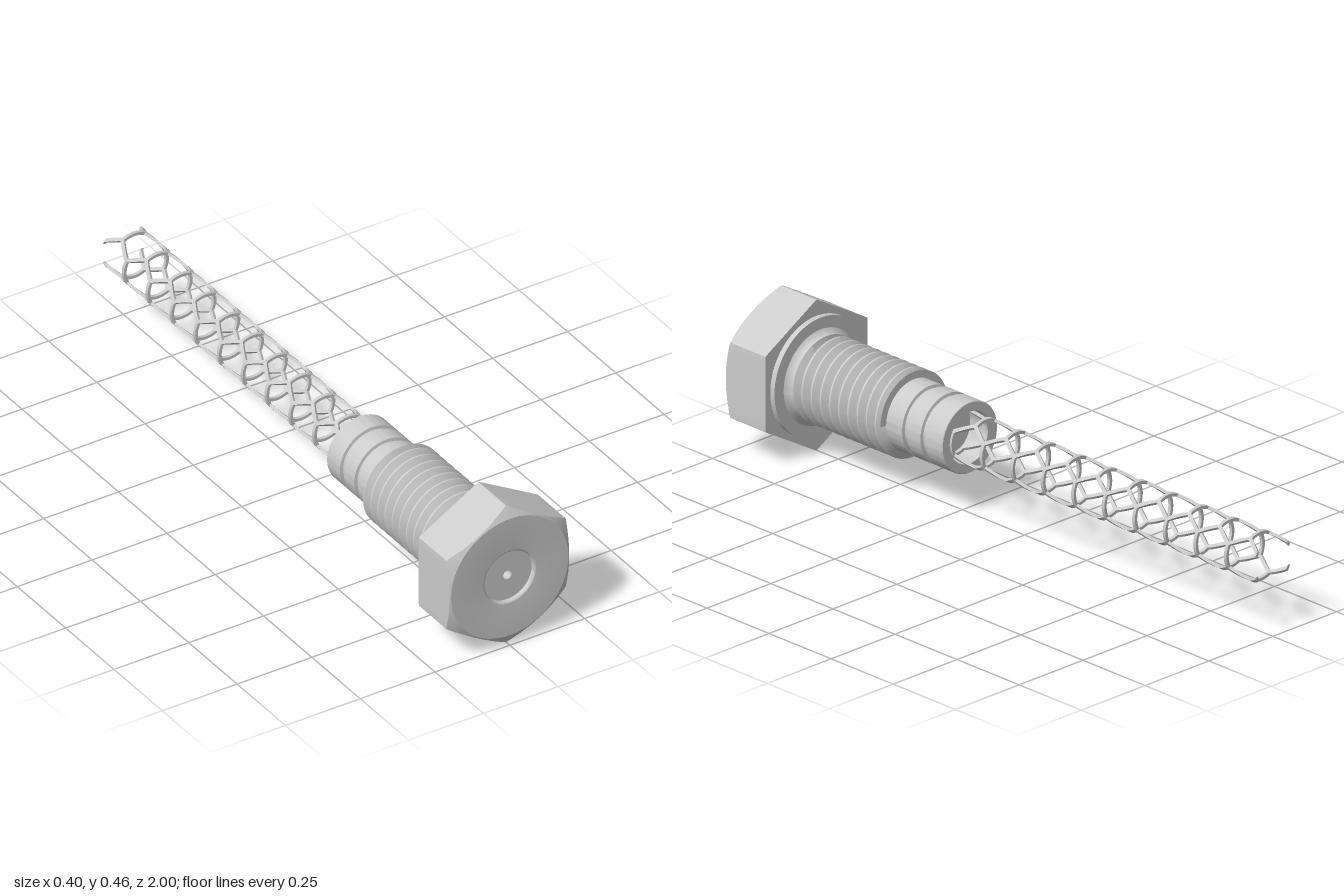
import * as THREE from 'three';
import { mergeGeometries, toCreasedNormals } from 'three/addons/utils/BufferGeometryUtils.js';

const material = new THREE.MeshStandardMaterial({ color: 0xcccccc });
const AXIS_Y = 0.23;

function addMesh(group, geometry, name) {
  const mesh = new THREE.Mesh(geometry, material);
  mesh.name = name;
  mesh.position.y = AXIS_Y;
  group.add(mesh);
}

// Turned part along z from [radius, z] pairs
function turned(profile, segments = 96) {
  const points = profile.map(([r, z]) => new THREE.Vector2(r, z));
  return new THREE.LatheGeometry(points, segments).rotateX(Math.PI / 2);
}

// Hexagon head: a turned blank whose rim is pushed out to the hexagon
function headGeometry() {
  const rim = 0.3, chamferRadius = 0.196;
  const profile = [[0.014, 0.838], [rim, 0.838], [rim, 1], [chamferRadius, 1], [0.09, 1]];
  // rounded edge down into the shallow recess
  for (let i = 1; i <= 5; i++) {
    const a = (i / 5) * Math.PI / 2;
    profile.push([0.09 - 0.009 * Math.sin(a), 1 - 0.009 * (1 - Math.cos(a))]);
  }
  profile.push([0.081, 0.987], [0.014, 0.987], [0.014, 0.838]);
  const geometry = turned(profile, 120);
  const pos = geometry.attributes.position;
  const sector = Math.PI / 3;
  for (let i = 0; i < pos.count; i++) {
    const x = pos.getX(i), y = pos.getY(i), z = pos.getZ(i);
    if (Math.hypot(x, y) < rim - 0.01) continue;
    const angle = Math.atan2(y, x);
    const fromFlat = angle - Math.round(angle / sector) * sector;
    const r = Math.min(0.2 / Math.cos(fromFlat), 0.23);
    const front = 1 - (r - chamferRadius) * 0.58;
    pos.setXYZ(i, r * Math.cos(angle), r * Math.sin(angle), z > 0.9 ? front : z);
  }
  return toCreasedNormals(geometry, 0.3);
}

// Right-hand helical thread: the tooth profile is swept, then clipped at both ends
function threadGeometry(z0, z1, pitch, root, crest) {
  const tooth = [[0, root], [0.08, root], [0.46, crest], [0.62, crest]];
  const turns = Math.ceil((z1 - z0) / pitch) + 1;
  const rows = [];
  for (let k = -1; k < turns; k++) for (const [t, r] of tooth) rows.push([(k + t) * pitch, r]);
  const segments = 72, positions = [], index = [];
  rows.forEach(([offset, r], j) => {
    for (let i = 0; i <= segments; i++) {
      const a = (i / segments) * Math.PI * 2;
      const z = z0 + offset + (pitch * i) / segments;
      positions.push(r * Math.cos(a), r * Math.sin(a), Math.min(z1, Math.max(z0, z)));
      if (j === 0 || i === 0) continue;
      const d = j * (segments + 1) + i, c = d - 1, b = d - segments - 1, e = b - 1;
      index.push(e, b, d, e, d, c);
    }
  });
  const geometry = new THREE.BufferGeometry();
  geometry.setAttribute('position', new THREE.Float32BufferAttribute(positions, 3));
  geometry.setIndex(index);
  return toCreasedNormals(geometry, 0.4);
}

// One flat strut between two (angle, z) nodes, wrapped onto the lattice tube
function strut(a0, z0, a1, z1) {
  const R = 0.071, du = (a1 - a0) * R, dv = z0 - z1;
  const geometry = new THREE.BoxGeometry(Math.hypot(du, dv) + 0.006, 0.011, 0.009, 6, 1, 1);
  geometry.rotateZ(Math.atan2(dv, du));
  geometry.translate(((a0 + a1) / 2) * R, -(z0 + z1) / 2, 0);
  const pos = geometry.attributes.position;
  for (let i = 0; i < pos.count; i++) {
    const a = pos.getX(i) / R, r = R + pos.getZ(i);
    pos.setXYZ(i, r * Math.sin(a), r * Math.cos(a), Math.max(-1, -pos.getY(i)));
  }
  geometry.computeVertexNormals();
  return geometry;
}

// Honeycomb tube: four columns of hexagonal cells, neighbours shifted by half a cell
function latticeGeometry() {
  const parts = [], cell = 0.123, start = 0.283, rings = 21, deg = Math.PI / 180;
  for (let k = 0; k < rings; k++) {
    const z = start - (k * cell) / 2, next = z - cell / 2;
    for (let side = 0; side < 2; side++) {
      const centre = (side * 180 + (k % 2) * 90) * deg;
      parts.push(strut(centre - 30 * deg, z, centre + 30 * deg, z));
      for (const s of [-1, 1]) parts.push(strut(centre + s * 30 * deg, z, centre + s * 60 * deg, next));
    }
  }
  return mergeGeometries(parts);
}

export function createModel() {
  const model = new THREE.Group();
  model.name = 'boltWithLatticeTube';

  addMesh(model, headGeometry(), 'hexHead');

  // Washer face and filleted neck under the head
  addMesh(model, toCreasedNormals(turned([
    [0.014, 0.79], [0.108, 0.79], [0.13, 0.797], [0.131, 0.806], [0.136, 0.815], [0.145, 0.821],
    [0.181, 0.821], [0.181, 0.84],
  ]), 0.5), 'washerFace');

  addMesh(model, threadGeometry(0.445, 0.797, 0.037, 0.109, 0.132), 'thread');

  // Shank with two ring grooves, a wide rear bore and a narrow through hole
  const profile = [[0.079, 0.22], [0.106, 0.22], [0.108, 0.222]];
  for (const z of [0.298, 0.372]) {
    profile.push([0.108, z - 0.01], [0.099, z - 0.008], [0.099, z + 0.008], [0.108, z + 0.01]);
  }
  profile.push([0.108, 0.84], [0.014, 0.84], [0.014, 0.3], [0.079, 0.3], [0.079, 0.22]);
  addMesh(model, toCreasedNormals(turned(profile), 0.5), 'shank');

  addMesh(model, latticeGeometry(), 'latticeTube');
  return model;
}
